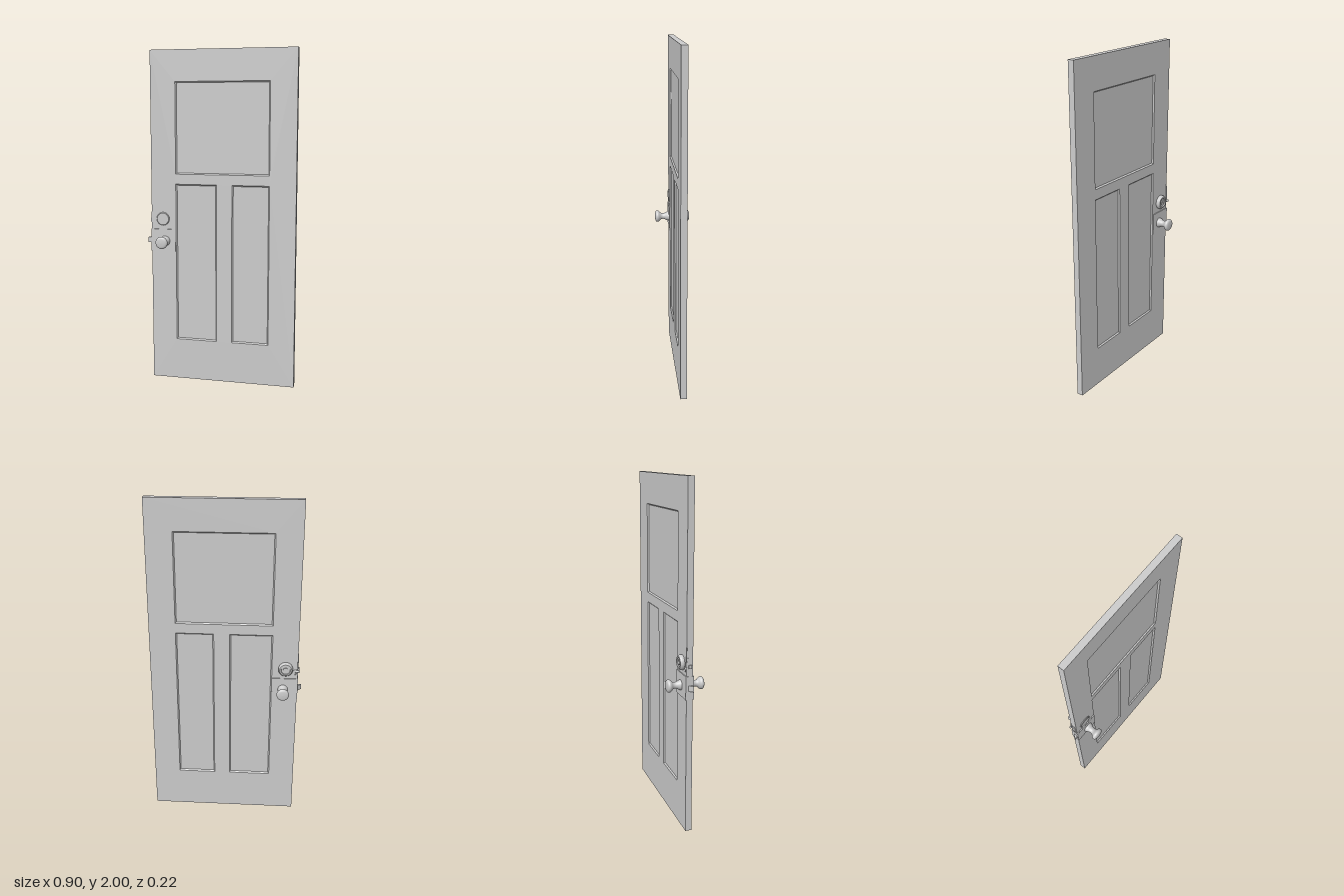
import * as THREE from 'three';

const FRONT = 0.017, BACK = -0.02;          // door faces
const X0 = -0.43, X1 = 0.45, HEIGHT = 2;

const material = new THREE.MeshStandardMaterial({ color: 0xcccccc, side: THREE.DoubleSide });
const flat = new THREE.MeshStandardMaterial({ color: 0xcccccc, side: THREE.DoubleSide, flatShading: true });

function add(parent, name, geometry, mat = material) {
  const mesh = new THREE.Mesh(geometry, mat);
  mesh.name = name;
  parent.add(mesh);
  return mesh;
}

function box(parent, name, x0, x1, y0, y1, z0, z1) {
  const mesh = add(parent, name, new THREE.BoxGeometry(x1 - x0, y1 - y0, z1 - z0));
  mesh.position.set((x0 + x1) / 2, (y0 + y1) / 2, (z0 + z1) / 2);
  return mesh;
}

function rectangle(Type, x0, x1, y0, y1) {
  const path = new Type();
  path.moveTo(x0, y0);
  path.lineTo(x1, y0);
  path.lineTo(x1, y1);
  path.lineTo(x0, y1);
  path.closePath();
  return path;
}

// Sloping strip from the door face down to a sunken panel
function mouldingGeometry([x0, x1, y0, y1], zFace, zPanel, w) {
  const ring = (i, z) => [[x0 + i, y0 + i, z], [x1 - i, y0 + i, z], [x1 - i, y1 - i, z], [x0 + i, y1 - i, z]];
  const points = [...ring(0, zFace), ...ring(w, zPanel)];
  const index = [];
  for (let a = 0; a < 4; a++) {
    const b = (a + 1) % 4;
    if (zFace > zPanel) index.push(a, b, b + 4, a, b + 4, a + 4);
    else index.push(a, b + 4, b, a, a + 4, b + 4);
  }
  const g = new THREE.BufferGeometry();
  g.setAttribute('position', new THREE.Float32BufferAttribute(points.flat(), 3));
  g.setIndex(index);
  const out = g.toNonIndexed();
  out.computeVertexNormals();
  return out;
}

// Round part turned about the z axis; profile holds [radius, distance]
function turned(parent, name, profile, x, y, z, side) {
  const geometry = new THREE.LatheGeometry(profile.map(([r, d]) => new THREE.Vector2(r, d)), 32);
  const mesh = add(parent, name, geometry);
  mesh.rotation.x = side * Math.PI / 2;
  mesh.position.set(x, y, z);
  return mesh;
}

function smoothProfile(points) {
  const curve = new THREE.SplineCurve(points.map(p => new THREE.Vector2(...p)));
  return curve.getPoints(28).map(p => [Math.max(p.x, 0), p.y]);
}

export function createModel() {
  const door = new THREE.Group();
  door.name = 'door';

  // Frame of the door leaf with three panel openings
  const panels = [
    [-0.277, 0.293, 1.27, 1.815],
    [-0.277, -0.025, 0.25, 1.21],
    [0.068, 0.293, 0.25, 1.21],
  ];
  const outline = rectangle(THREE.Shape, X0, X1, 0, HEIGHT);
  for (const p of panels) outline.holes.push(rectangle(THREE.Path, ...p));
  const leaf = add(door, 'doorFrame', new THREE.ExtrudeGeometry(outline, { depth: FRONT - BACK, bevelEnabled: false }));
  leaf.position.z = BACK;

  // Sunken panels with mouldings on both faces
  const sunk = 0.008, width = 0.007;
  for (const p of panels) {
    box(door, 'panel', ...p, BACK + sunk, FRONT - sunk);
    add(door, 'frontMoulding', mouldingGeometry(p, FRONT, FRONT - sunk, width), flat);
    add(door, 'backMoulding', mouldingGeometry(p, BACK, BACK + sunk, width), flat);
  }

  // Lock case wrapped round the door edge
  const lock = new THREE.Group();
  lock.name = 'knobLock';
  door.add(lock);
  box(lock, 'frontLockPlate', X0 - 0.003, -0.28, 0.8, 0.935, FRONT, FRONT + 0.006);
  box(lock, 'backLockPlate', X0 - 0.003, -0.28, 0.8, 0.935, BACK - 0.005, BACK);
  box(lock, 'edgeLockPlate', X0 - 0.003, X0, 0.8, 0.935, BACK, FRONT);

  // Knobs on both faces
  const knobProfile = smoothProfile([
    [0.031, 0], [0.028, 0.012], [0.021, 0.026], [0.018, 0.04], [0.022, 0.052],
    [0.033, 0.064], [0.037, 0.073], [0.034, 0.082], [0.024, 0.087], [0, 0.089],
  ]);
  turned(lock, 'frontKnob', knobProfile, -0.345, 0.863, 0.021, 1);
  turned(lock, 'backKnob', knobProfile, -0.345, 0.863, -0.021, -1);

  // Wedge-shaped spring latch
  const wedge = new THREE.Shape();
  wedge.moveTo(X0, 0.012);
  wedge.lineTo(-0.455, -0.015);
  wedge.lineTo(X0, -0.015);
  wedge.closePath();
  const latch = add(lock, 'latch', new THREE.ExtrudeGeometry(wedge, { depth: 0.032, bevelEnabled: false }), flat);
  latch.rotation.x = -Math.PI / 2;
  latch.position.y = 0.85;

  // Upper lock: plain disc in front, keyed cylinder behind
  const deadlock = new THREE.Group();
  deadlock.name = 'upperLock';
  door.add(deadlock);
  const lx = -0.358, ly = 0.998;
  turned(deadlock, 'frontDisc', [[0.04, 0], [0.04, 0.004], [0.04, 0.004], [0.036, 0.007], [0.036, 0.007],
    [0.033, 0.005], [0.033, 0.005], [0, 0.005]], lx, ly, FRONT, 1);
  turned(deadlock, 'backCylinder', [[0.043, 0], [0.043, 0.012], [0.043, 0.012], [0.036, 0.023], [0.036, 0.023],
    [0.028, 0.023], [0.028, 0.023], [0.026, 0.017], [0.026, 0.017], [0, 0.017]], lx, ly, BACK, -1);
  turned(deadlock, 'keyPlug', [[0.015, 0], [0.015, 0.022], [0.015, 0.022], [0, 0.022]], lx, ly, BACK, -1);
  box(deadlock, 'keySlot', lx - 0.003, lx + 0.003, ly - 0.01, ly + 0.01, BACK - 0.0235, BACK - 0.02);
  box(deadlock, 'edgeBoltPlate', X0 - 0.003, X0, 0.955, 1.04, BACK + 0.004, FRONT - 0.004);
  box(deadlock, 'bolt', X0 - 0.01, X0, 0.98, 1.0, -0.01, 0.008);

  // Small tilted pin and thin bent strip at the back edge
  const pin = add(deadlock, 'edgePin', new THREE.CylinderGeometry(0.007, 0.007, 0.032, 12));
  pin.rotation.z = Math.PI / 2;
  pin.rotation.y = -0.4;
  pin.position.set(-0.424, 0.985, -0.023);
  const bend = new THREE.CatmullRomCurve3([
    new THREE.Vector3(-0.415, 0.96, -0.021),
    new THREE.Vector3(-0.429, 1.0, -0.023),
    new THREE.Vector3(-0.43, 1.05, -0.021),
    new THREE.Vector3(-0.428, 1.1, -0.019),
  ]);
  add(deadlock, 'edgeStrip', new THREE.TubeGeometry(bend, 20, 0.003, 8));

  return door;
}
